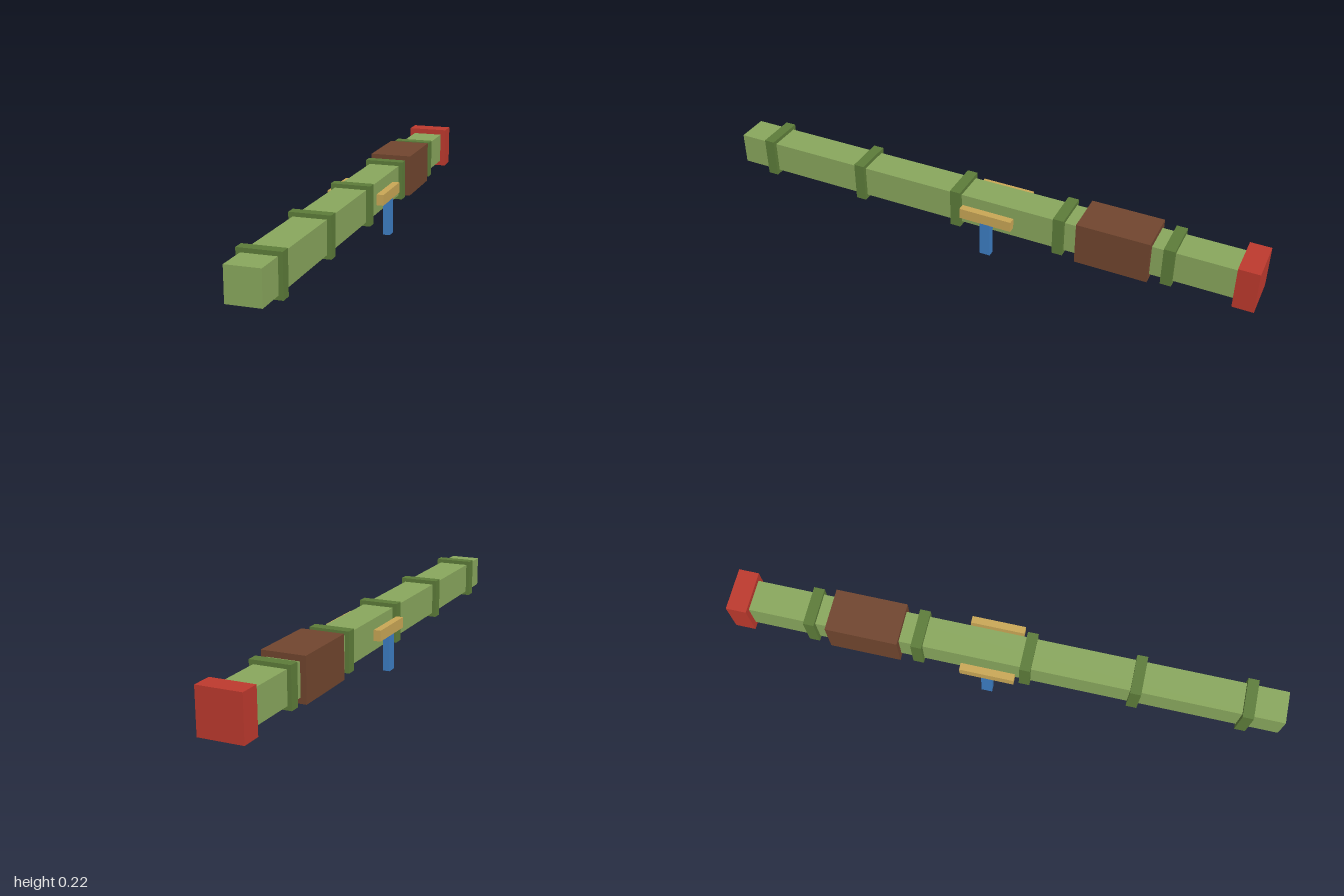
import * as THREE from 'three';

const mat = (name, color) => {
  const m = new THREE.MeshStandardMaterial({ color });
  m.name = name;
  return m;
};

export function createModel() {
  const model = new THREE.Group();
  model.name = 'squareTubeLauncher';

  const lightGreen = mat('lightGreen', 0x88a65c);
  const darkGreen = mat('darkGreen', 0x5c7b39);
  const brown = mat('brown', 0x70452e);
  const red = mat('red', 0xbc392d);
  const tan = mat('tan', 0xc8a655);
  const blue = mat('blue', 0x3c7dc2);

  const box = (name, material, [w, h, d], [x, y, z]) => {
    const mesh = new THREE.Mesh(new THREE.BoxGeometry(w, h, d), material);
    mesh.name = name;
    mesh.position.set(x, y, z);
    model.add(mesh);
  };

  const axisY = 0.138; // height of the tube's centre line

  // Long square tube
  box('tube', lightGreen, [0.116, 0.116, 1.95], [0, axisY, 0.025]);

  // Evenly spaced bands around the tube
  for (let i = 0; i < 5; i++) {
    box(`band${i + 1}`, darkGreen, [0.145, 0.145, 0.039], [0, axisY, 0.869 - i * 0.392]);
  }

  // Sleeve and end cap towards the back
  box('sleeve', brown, [0.157, 0.157, 0.262], [0, axisY, -0.505]);
  box('endCap', red, [0.157, 0.157, 0.074], [0, axisY, -0.963]);

  // Side rail with a leg below it, on both sides
  for (const [side, s] of [['left', 1], ['right', -1]]) {
    box(`${side}Rail`, tan, [0.026, 0.039, 0.196], [s * 0.0915, 0.15, -0.046]);
    box(`${side}Leg`, blue, [0.026, 0.131, 0.039], [s * 0.0915, 0.0655, -0.046]);
  }

  return model;
}
